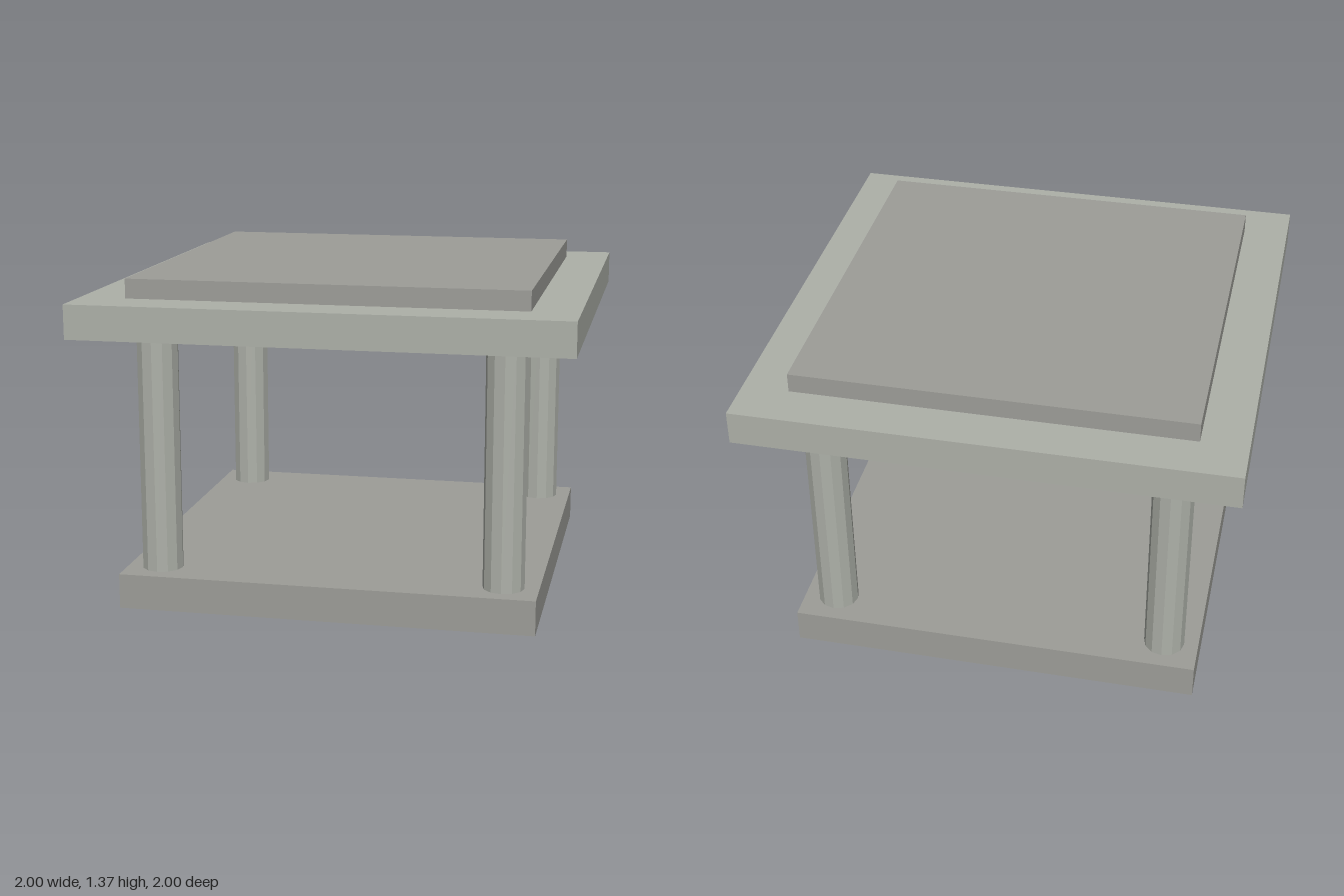
import * as THREE from 'three';

const stone = new THREE.MeshStandardMaterial({ color: 0x9d9d98, flatShading: true });
const paleStone = new THREE.MeshStandardMaterial({ color: 0xadb0a8, flatShading: true });

// Square slab of the given width between two heights
function slab(name, width, bottom, top, material) {
  const mesh = new THREE.Mesh(new THREE.BoxGeometry(width, top - bottom, width), material);
  mesh.name = name;
  mesh.position.y = (bottom + top) / 2;
  return mesh;
}

export function createModel() {
  const model = new THREE.Group();
  model.name = 'pillaredPlatform';

  const baseTop = 0.145, roofBottom = 1.145, roofTop = 1.285;
  model.add(
    slab('base', 1.715, 0, baseTop, stone),
    slab('roofSlab', 2, roofBottom, roofTop, paleStone),
    slab('topPanel', 1.62, roofTop, 1.365, stone),
  );

  // Twelve-sided pillars at the four corners
  const pillarGeometry = new THREE.CylinderGeometry(0.085, 0.085, roofBottom - baseTop, 12);
  for (const [side, x] of [['Left', 1], ['Right', -1]]) {
    for (const [end, z] of [['front', 1], ['back', -1]]) {
      const pillar = new THREE.Mesh(pillarGeometry, paleStone);
      pillar.name = `${end}${side}Pillar`;
      pillar.position.set(x * 0.713, (baseTop + roofBottom) / 2, z * 0.713);
      model.add(pillar);
    }
  }
  return model;
}
